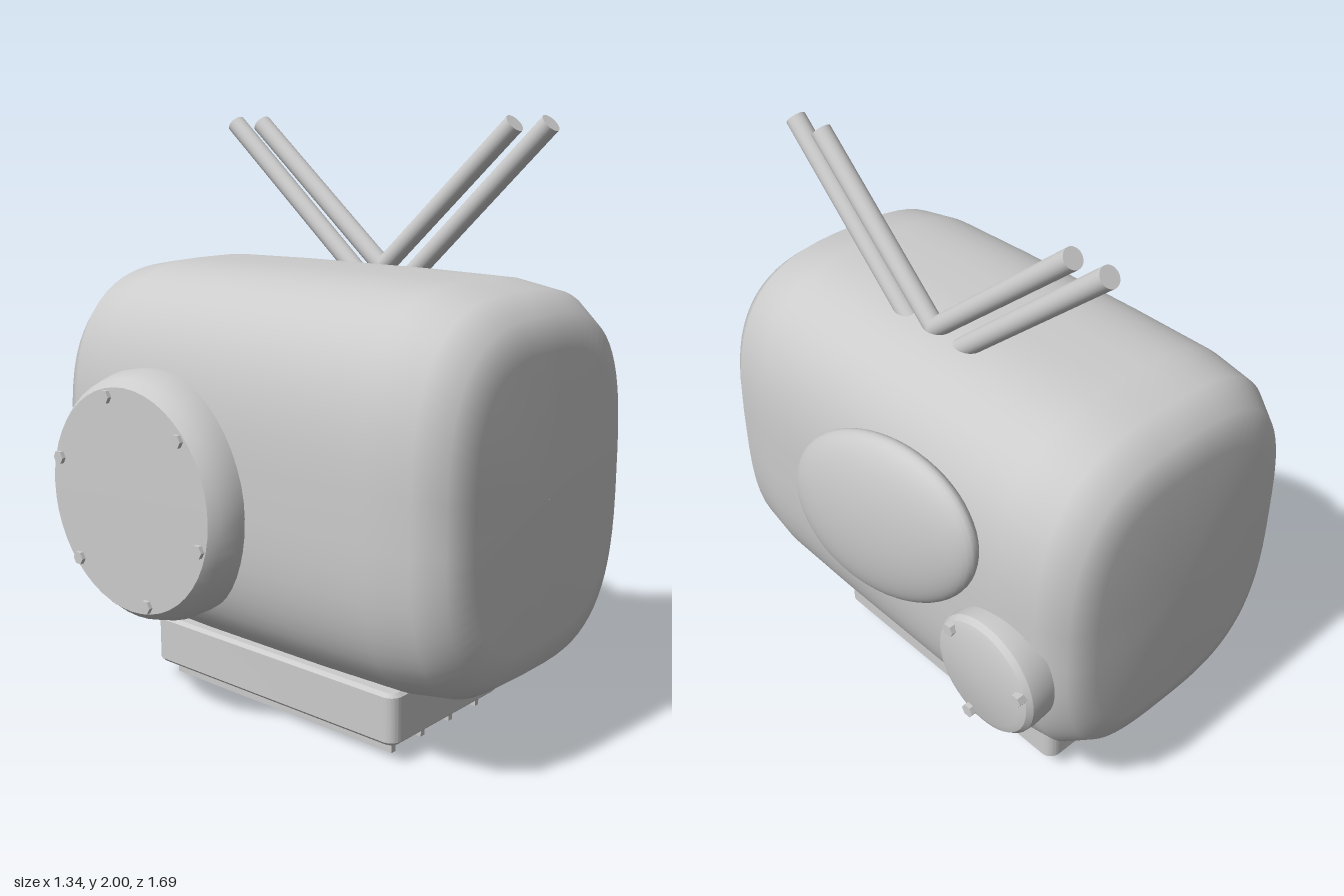
import * as THREE from 'three';
import { toCreasedNormals } from 'three/addons/utils/BufferGeometryUtils.js';

const material = new THREE.MeshStandardMaterial({ color: 0xcccccc });

function add(parent, name, geometry, x = 0, y = 0, z = 0) {
  const mesh = new THREE.Mesh(geometry, material);
  mesh.name = name;
  mesh.position.set(x, y, z);
  parent.add(mesh);
  return mesh;
}

// Rounded shell lofted from superellipse loops along z, mirrored front to back
function bodyGeometry() {
  const half = [ // z, half width, half height
    [0.847, 0.001, 0.001], [0.845, 0.38, 0.45], [0.812, 0.47, 0.55],
    [0.725, 0.522, 0.615], [0.57, 0.542, 0.64], [0.25, 0.547, 0.645],
  ];
  const rings = [...half, ...half.map(([z, w, h]) => [-z, w, h]).reverse()];
  const n = 64, positions = [], index = [];
  const bulge = (v) => Math.sign(v) * Math.abs(v) ** (2 / 3);
  rings.forEach(([z, w, h], i) => {
    for (let j = 0; j < n; j++) {
      const t = ((j + 0.5) / n) * Math.PI * 2;
      positions.push(w * bulge(Math.cos(t)), h * bulge(Math.sin(t)), z);
      if (i === rings.length - 1) continue;
      const a = i * n + j, d = i * n + ((j + 1) % n);
      index.push(a, a + n, d, a + n, d + n, d);
    }
  });
  const geometry = new THREE.BufferGeometry();
  geometry.setAttribute('position', new THREE.Float32BufferAttribute(positions, 3));
  geometry.setIndex(index);
  geometry.computeVertexNormals();
  return geometry;
}

// Round cover on a side wall, with a ring of hexagonal bolts
function cover(name, side, y, z, profile, bolts) {
  const group = new THREE.Group();
  group.name = name;
  const points = profile.map(([r, d]) => new THREE.Vector2(r, d));
  const disc = add(group, name + 'Disc', toCreasedNormals(new THREE.LatheGeometry(points, 48), 0.5), 0, y, z);
  disc.rotation.z = -side * Math.PI / 2;
  for (let i = 0; i < bolts.count; i++) {
    const a = THREE.MathUtils.degToRad(bolts.start) + (i / bolts.count) * Math.PI * 2;
    const bolt = add(group, name + 'Bolt',
      toCreasedNormals(new THREE.CylinderGeometry(0.023, 0.023, 0.05, 6), 0.5),
      side * (bolts.top - 0.025), y + bolts.radius * Math.sin(a), z + bolts.radius * Math.cos(a));
    bolt.rotation.z = -side * Math.PI / 2;
  }
  return group;
}

// Straight round rod between two points
function rod(parent, name, from, to, radius) {
  const dir = to.clone().sub(from);
  const mesh = add(parent, name, new THREE.CylinderGeometry(radius, radius, dir.length(), 24));
  mesh.position.copy(from).add(to).multiplyScalar(0.5);
  mesh.quaternion.setFromUnitVectors(new THREE.Vector3(0, 1, 0), dir.normalize());
}

// Base block with rounded corners and a chamfered lower edge
function baseGeometry() {
  const bevel = 0.012, w = 0.3 - bevel, l = 0.55 - bevel, r = 0.03;
  const shape = new THREE.Shape();
  shape.absarc(w - r, l - r, r, 0, Math.PI / 2);
  shape.absarc(-w + r, l - r, r, Math.PI / 2, Math.PI);
  shape.absarc(-w + r, -l + r, r, Math.PI, Math.PI * 1.5);
  shape.absarc(w - r, -l + r, r, Math.PI * 1.5, Math.PI * 2);
  const geometry = new THREE.ExtrudeGeometry(shape, {
    depth: 0.175 - 2 * bevel, bevelThickness: bevel, bevelSize: bevel, bevelSegments: 1, curveSegments: 6,
  });
  geometry.rotateX(-Math.PI / 2);
  return toCreasedNormals(geometry.translate(0, bevel, 0), 0.5);
}

export function createModel() {
  const model = new THREE.Group();
  model.name = 'model';

  add(model, 'body', bodyGeometry(), 0, 0.875, 0);

  // Base, cooling fins and locating bolt underneath
  add(model, 'base', baseGeometry(), 0, 0.065, -0.05);
  for (const x of [-0.233, -0.08, 0.074, 0.228]) {
    add(model, 'baseFin', new THREE.BoxGeometry(0.02, 0.06, 0.995), x, 0.045, -0.0475);
  }
  add(model, 'baseBolt', toCreasedNormals(new THREE.CylinderGeometry(0.053, 0.053, 0.08, 6), 0.5), 0, 0.04, 0.305)
    .rotation.y = Math.PI / 6;

  // Tilted oval bulge on the left side
  const bulge = add(model, 'ovalBulge', new THREE.SphereGeometry(1, 48, 32), 0.57, 1.02, -0.1);
  bulge.scale.set(0.095, 0.295, 0.467);
  bulge.rotation.x = THREE.MathUtils.degToRad(28);

  // Bolted covers
  model.add(cover('smallCover', 1, 0.72, -0.595,
    [[0, 0.5], [0.2, 0.5], [0.205, 0.56], [0.203, 0.59], [0.19, 0.608], [0.165, 0.617], [0, 0.62]],
    { count: 3, start: 44, radius: 0.173, top: 0.633 }));
  model.add(cover('largeCover', -1, 0.795, -0.305,
    [[0, 0.5], [0.413, 0.5], [0.415, 0.568], [0.395, 0.63], [0.37, 0.66], [0, 0.662]],
    { count: 6, start: -16, radius: 0.343, top: 0.674 }));

  // Two pairs of splayed rods on top: tip z, z where the rod meets the roof
  for (const [tip, foot] of [[0.67, 0.185], [0.54, 0.045], [-0.54, 0.005], [-0.67, -0.135]]) {
    const at = (y) => new THREE.Vector3(0.224, y, THREE.MathUtils.lerp(foot, tip, (y - 1.515) / 0.46));
    rod(model, 'antenna', at(1.45), at(1.975), 0.033);
  }
  return model;
}
